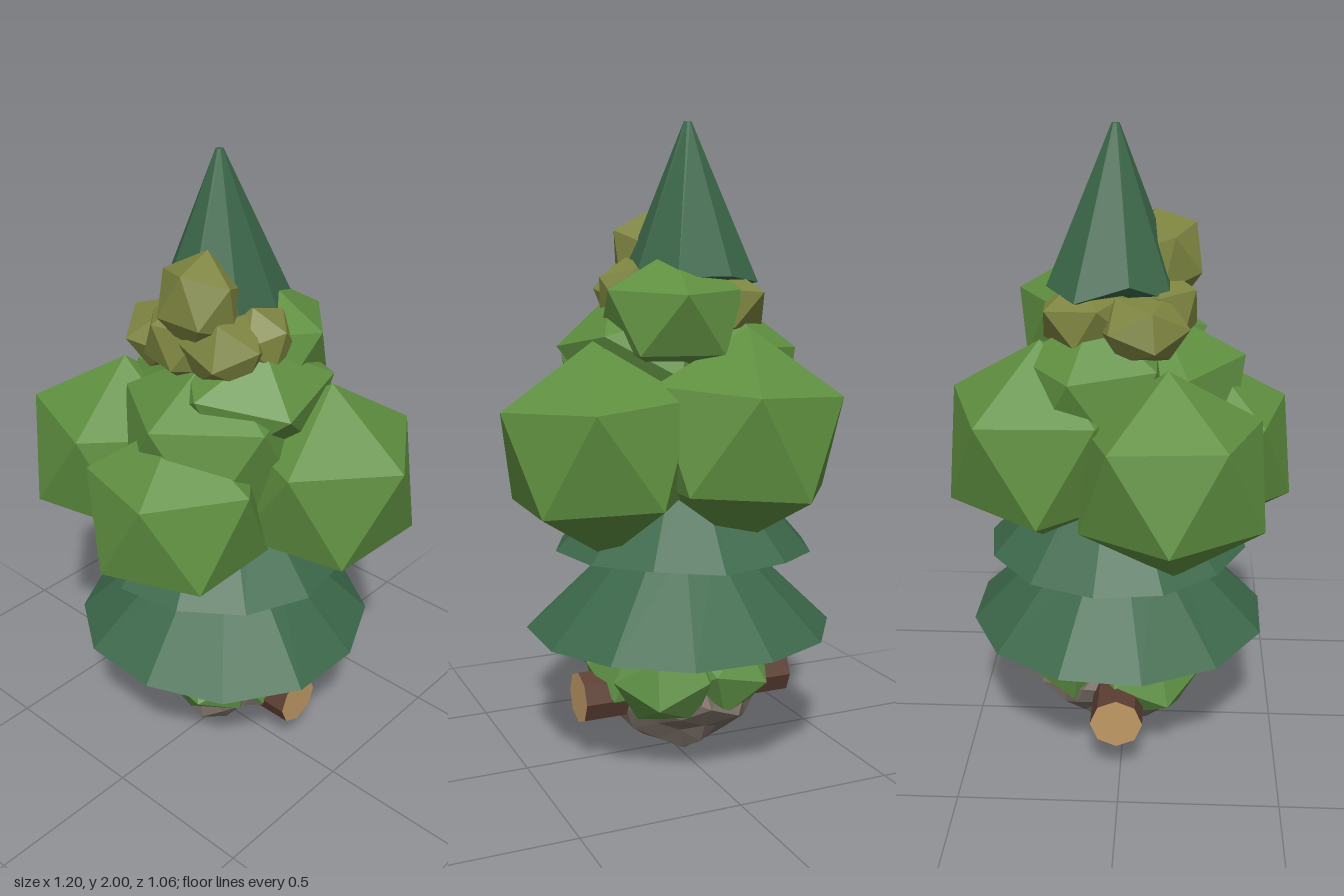
import * as THREE from 'three';

const mat = (color) => new THREE.MeshStandardMaterial({ color, flatShading: true });
const PINE = mat(0x3c684a), LEAF = mat(0x5f8f40), OLIVE = mat(0x7d8440);
const BUSH = mat(0x5f9145), ROCK = mat(0x766b63), BARK = mat(0x5c3f33), CUT = mat(0xc09a66);

const hash = (a, b, c) => {
  const s = Math.sin(a * 12.9898 + b * 78.233 + c * 37.719) * 43758.5453;
  return s - Math.floor(s);
};

// Right-handed basis whose first axis is a and whose second leans towards b
function basis(a, b) {
  const x = a.clone().normalize();
  const z = new THREE.Vector3().crossVectors(x, b).normalize();
  return new THREE.Matrix4().makeBasis(x, new THREE.Vector3().crossVectors(z, x), z);
}

const PHI = (1 + Math.sqrt(5)) / 2;
const ICO_BASE = basis(new THREE.Vector3(0, 1, PHI), new THREE.Vector3(0, -1, PHI)).invert();

export function createModel() {
  const model = new THREE.Group();

  const add = (name, geometry, material, pos) => {
    const mesh = new THREE.Mesh(geometry, material);
    mesh.name = name;
    mesh.position.set(...pos);
    model.add(mesh);
  };

  // Leaf clump: icosahedron with one corner at "pole" and the next one towards "hint"
  const clump = (name, material, pos, r, pole, hint, scale = [1, 1, 1]) => {
    const geo = new THREE.IcosahedronGeometry(r, 0);
    geo.applyMatrix4(basis(new THREE.Vector3(...pole), new THREE.Vector3(...hint)).multiply(ICO_BASE));
    geo.scale(...scale);
    add(name, geo, material, pos);
  };

  // Uneven pine tier: a tapered drum whose hem is pushed in and out
  const tier = (name, x, y0, y1, r0, r1, sides, turn, wobble, lift) => {
    const geo = new THREE.CylinderGeometry(r1, r0, y1 - y0, sides, 1);
    geo.rotateY(turn);
    const p = geo.attributes.position;
    for (let i = 0; i < p.count; i++) {
      const px = p.getX(i), pz = p.getZ(i);
      if (p.getY(i) > 0 || Math.hypot(px, pz) < 1e-4) continue;
      const k = Math.round(px * 100), m = Math.round(pz * 100);
      const s = 1 + (hash(k, m, 1) - 0.5) * wobble;
      p.setXYZ(i, px * s, p.getY(i) + hash(k, m, 2) * lift, pz * s);
    }
    add(name, geo, PINE, [x, (y0 + y1) / 2, -0.025]);
  };

  // Pine tiers and the pointed top
  tier('lowerSkirt', -0.015, 0.408, 0.71, 0.485, 0.185, 12, 0.2, 0.05, 0.015);
  tier('upperSkirt', -0.03, 0.675, 1.0, 0.41, 0.12, 12, 0.4, 0.05, 0.015);
  tier('treeTop', -0.04, 1.47, 2.0, 0.21, 0.012, 8, 0.25, 0.25, 0.1);

  // Four large clumps around the middle
  clump('frontClump', LEAF, [0.055, 0.98, 0.262], 0.305, [-0.07, -0.14, 0.28], [0.1, 0.15, 0.25]);
  clump('rightClump', LEAF, [-0.31, 1.02, 0.15], 0.32, [-0.28, -0.12, 0], [-0.22, 0.18, -0.2]);
  clump('leftClump', LEAF, [0.295, 1.02, -0.135], 0.328, [0.28, 0.12, 0.01], [-0.04, 0.31, 0]);
  clump('backClump', LEAF, [-0.12, 1.05, -0.245], 0.335, [0.085, 0.16, -0.3], [-0.085, -0.16, -0.3]);

  // Upper clumps
  clump('middleClump', LEAF, [0.04, 1.16, 0.095], 0.315, [0.05, 0.5, 1], [0, 1, 0.1], [1, 0.9, 1]);
  clump('middleBackClump', LEAF, [-0.13, 1.22, -0.08], 0.255, [-1, 0.4, -0.3], [0, 1, 0]);
  clump('shoulderClump', LEAF, [0.05, 1.41, -0.1], 0.255, [0.2, 0.4, -1], [0, 1, 0], [0.95, 0.8, 1]);
  clump('neckClump', LEAF, [0.1, 1.3, 0.0], 0.27, [1, 0.1, 0.4], [0, 1, 0], [1, 0.72, 1]);

  // Olive clumps near the top
  [
    [[0.02, 1.6, 0.125], 0.155, [0, 1, -0.3], [0.1, 0, 1], [0.92, 1, 0.8]],
    [[-0.18, 1.43, 0.06], 0.145, [-1, -0.4, 0.3], [0, 1, 0], [1, 0.75, 1]],
    [[-0.05, 1.46, 0.11], 0.15, [-0.3, 0.6, 1], [0, 1, 0], [1, 0.9, 0.85]],
    [[0.09, 1.47, 0.09], 0.14, [0.5, -0.2, 1], [0, 1, 0], [1, 0.9, 1]],
    [[0.14, 1.48, 0], 0.115, [1, 0.5, 0], [0, 1, 0.3], [1, 1, 1]],
    [[-0.1, 1.45, -0.11], 0.175, [-0.8, 0.4, -1], [0, 1, 0], [1, 0.7, 0.9]],
  ].forEach((c, i) => clump('oliveClump' + (i + 1), OLIVE, ...c));

  // Low bushes under the skirts
  [
    [[-0.175, 0.275, 0.08], 0.175],
    [[0.06, 0.265, 0.12], 0.17],
    [[0.14, 0.28, 0.0], 0.165],
    [[0.09, 0.285, -0.155], 0.175],
    [[-0.1, 0.285, -0.15], 0.17],
  ].forEach(([pos, r], i) =>
    clump('bush' + (i + 1), BUSH, pos, r, [pos[0], -0.06 + 0.05 * (i % 3), pos[2]], [0.1 * i - 0.3, 1, 0.1], [1, 0.82, 1]));

  // Lumpy rock, narrowing towards the bottom
  const rock = new THREE.IcosahedronGeometry(1, 2);
  const rp = rock.attributes.position;
  for (let i = 0; i < rp.count; i++) {
    const [x, y, z] = [rp.getX(i), rp.getY(i), rp.getZ(i)];
    const s = 0.84 + 0.32 * hash(Math.round(x * 50), Math.round(y * 50), Math.round(z * 50));
    const taper = y < 0 ? 1 + 0.35 * y : 1;
    rp.setXYZ(i, x * s * taper * 0.24, y * s * 0.16, z * s * taper * 0.24);
  }
  rock.computeBoundingBox();
  add('rock', rock, ROCK, [-0.01, -rock.boundingBox.min.y, -0.015]);

  // Log lying through the rock, with pale cut ends
  const log = new THREE.CylinderGeometry(0.082, 0.082, 0.72, 8);
  log.rotateZ(Math.PI / 2);
  add('log', log, [BARK, CUT, CUT], [-0.03, 0.21, -0.01]);

  return model;
}
